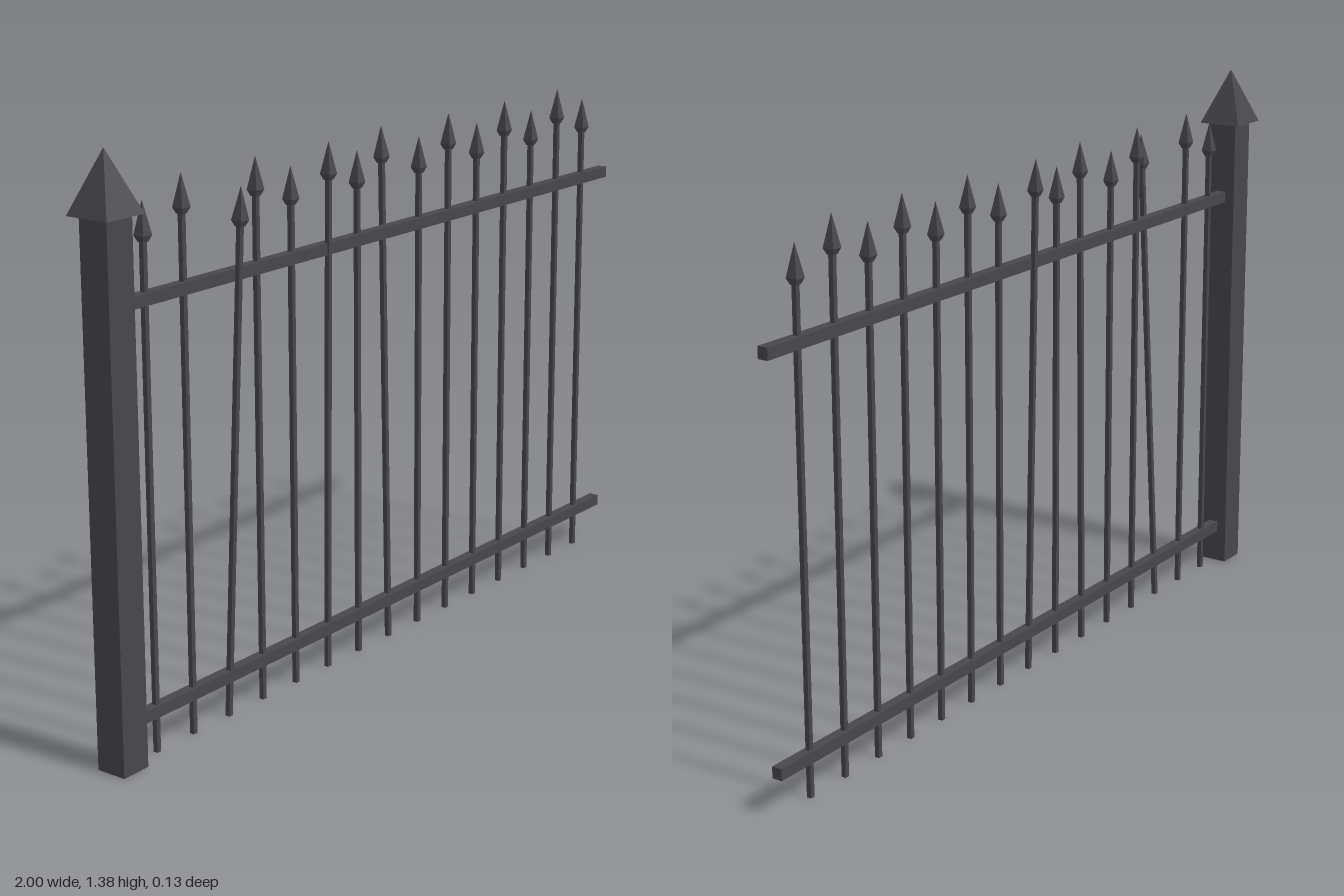
import * as THREE from 'three';

const Z = -0.005; // fence line

export function createModel() {
  const fence = new THREE.Group();
  fence.name = 'fence';
  const iron = new THREE.MeshStandardMaterial({ name: 'dark iron', color: 0x48484c });
  iron.flatShading = true;

  const add = (parent, name, geometry, x, y, z) => {
    const mesh = new THREE.Mesh(geometry, iron);
    mesh.name = name;
    mesh.position.set(x, y, z);
    parent.add(mesh);
  };

  // Square solid from [half width, height] pairs
  const squareLathe = (profile) => new THREE.LatheGeometry(
    profile.map(([w, y]) => new THREE.Vector2(w * Math.SQRT2, y)), 4, Math.PI / 4);

  // Post with pyramid cap
  add(fence, 'post', new THREE.BoxGeometry(0.077, 1.235, 0.077), -0.943, 0.6175, Z);
  add(fence, 'postCap', squareLathe([[0, 0], [0.057, 0], [0, 0.14]]), -0.943, 1.235, Z);

  // Horizontal rails
  const rail = new THREE.BoxGeometry(1.907, 0.028, 0.026);
  add(fence, 'lowerRail', rail, 0.0465, 0.1, Z);
  add(fence, 'upperRail', rail, 0.0465, 1.038, Z);

  // Pickets alternate in height; a few are bent out of line
  const lean = { 2: 0.05, 5: 0.01, 7: -0.017 };
  const head = squareLathe([[0, 0], [0.008, 0], [0.014, 0.014], [0, 0.09]]);
  for (let i = 0; i < 15; i++) {
    const top = i % 2 ? 1.29 : 1.25;
    const shaft = top - 0.09;
    const picket = new THREE.Group();
    picket.name = 'picket' + (i + 1);
    picket.position.set(-0.833 + i * 0.123, 0, Z);
    picket.rotation.x = lean[i] || 0;
    add(picket, 'shaft', new THREE.BoxGeometry(0.012, shaft, 0.012), 0, shaft / 2, 0);
    add(picket, 'spearhead', head, 0, shaft, 0);
    fence.add(picket);
  }
  return fence;
}
